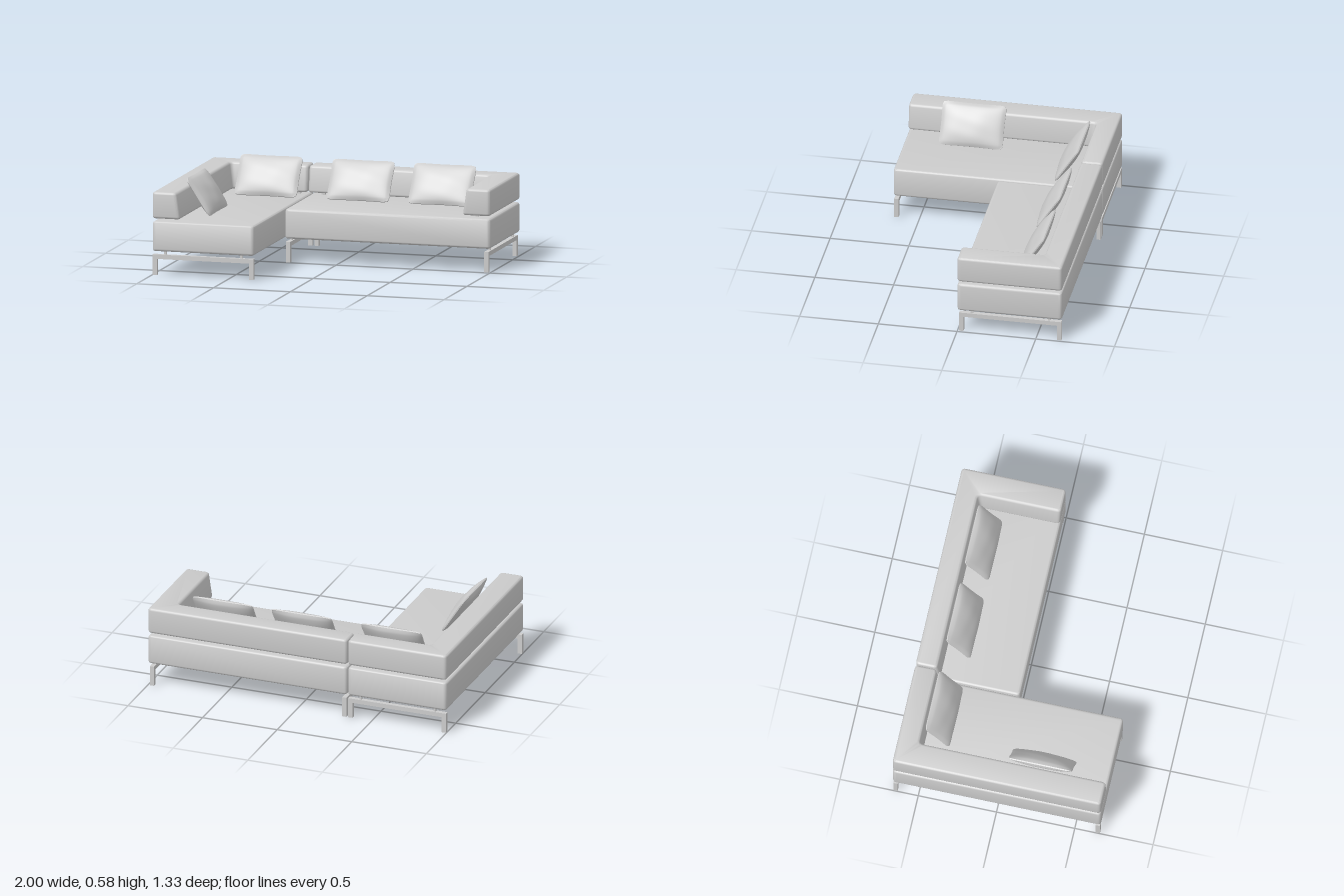
import * as THREE from 'three';
import { toCreasedNormals } from 'three/addons/utils/BufferGeometryUtils.js';

const material = new THREE.MeshStandardMaterial({ color: 0xcccccc });

function addMesh(parent, name, geometry, x = 0, y = 0, z = 0) {
  const mesh = new THREE.Mesh(geometry, material);
  mesh.name = name;
  mesh.position.set(x, y, z);
  parent.add(mesh);
  return mesh;
}

function addBox(parent, name, w, h, d, x, y, z) {
  return addMesh(parent, name, new THREE.BoxGeometry(w, h, d), x, y, z);
}

// Floor-plan outline with rounded corners; plan points are [x, z], counter-clockwise seen from above
function roundedPlan(points, r) {
  const pts = points.map(([x, z]) => new THREE.Vector2(x, -z));
  const shape = new THREE.Shape();
  pts.forEach((p, i) => {
    const before = pts[(i + pts.length - 1) % pts.length];
    const after = pts[(i + 1) % pts.length];
    const a = p.clone().add(before.clone().sub(p).setLength(r));
    const b = p.clone().add(after.clone().sub(p).setLength(r));
    if (i === 0) shape.moveTo(a.x, a.y);
    else shape.lineTo(a.x, a.y);
    shape.quadraticCurveTo(p.x, p.y, b.x, b.y);
  });
  shape.closePath();
  return shape;
}

// Upholstered block: plan extruded upwards with soft edges
function softBlock(points, y0, y1) {
  const bevel = 0.016;
  const g = new THREE.ExtrudeGeometry(roundedPlan(points, 0.024), {
    depth: y1 - y0 - 2 * bevel, bevelEnabled: true, bevelThickness: bevel,
    bevelSize: bevel, bevelOffset: -bevel, bevelSegments: 4, curveSegments: 5
  });
  g.rotateX(-Math.PI / 2);
  g.translate(0, y0 + bevel, 0);
  return g;
}

// L-shaped backrest whose inner faces lean outwards towards the top
function backrest(points) {
  const y0 = 0.357, y1 = 0.525;
  const g = softBlock(points, y0, y1);
  const p = g.attributes.position;
  for (let i = 0; i < p.count; i++) {
    const x = p.getX(i), z = p.getZ(i);
    const lean = 0.025 * (p.getY(i) - y0) / (y1 - y0);
    if (Math.abs(x) > 0.7 && Math.abs(x) < 0.93) p.setX(i, x + Math.sign(x) * lean);
    if (z > -0.6 && z < -0.45) p.setZ(i, z - lean);
  }
  return toCreasedNormals(g, 0.6);
}

// Pillow: thin seam at the rim, swelling to the middle, with faint creases
function pillowGeometry() {
  const W = 0.205, H = 0.14, T = 0.04, seam = 0.004;
  const g = new THREE.BoxGeometry(2, 2, 2, 28, 20, 1);
  const p = g.attributes.position;
  for (let i = 0; i < p.count; i++) {
    const u = p.getX(i), v = p.getY(i), side = p.getZ(i);
    const swell = Math.pow((1 - u * u) * (1 - v * v), 0.55);
    const crease = 1 + 0.05 * Math.sin(5 * u + 3 * v) * Math.cos(4 * v - 2 * u);
    p.setXYZ(i,
      W * u * (1 - 0.025 * (1 - v * v) - 0.05 * Math.pow(v, 10)),
      H * v * (1 - 0.03 * (1 - u * u) - 0.06 * Math.pow(u, 12)),
      side * (seam + (T - seam) * swell * crease));
  }
  g.computeVertexNormals();
  return g;
}

// Bridge-shaped leg frame running along x
function legFrame(name, length) {
  const frame = new THREE.Group();
  frame.name = name;
  const t = 0.028;
  addBox(frame, 'beam', length - 2 * t, 0.028, t, 0, 0.116, 0);
  for (const s of [-1, 1]) {
    addBox(frame, 'leg', t, 0.13, t, s * (length - t) / 2, 0.065, 0);
    addBox(frame, 'framePost', 0.014, 0.03, 0.014, s * (length / 2 - 0.08), 0.142, 0);
  }
  return frame;
}

export function createModel() {
  const model = new THREE.Group();
  model.name = 'cornerSofa';

  const chaise = new THREE.Group();
  chaise.name = 'chaiseSection';
  const bench = new THREE.Group();
  bench.name = 'benchSection';
  model.add(chaise, bench);

  // Seats
  const seat = (x0, x1, z0, z1) => toCreasedNormals(
    softBlock([[x0, z1], [x1, z1], [x1, z0], [x0, z0]], 0.15, 0.339), 0.6);
  addMesh(chaise, 'seat', seat(-1, -0.34, -0.665, 0.665));
  addMesh(bench, 'seat', seat(-0.334, 1, -0.665, 0));

  // Backrests with arms
  addMesh(chaise, 'backrest', backrest([
    [-1, 0.665], [-0.82, 0.665], [-0.82, -0.505], [-0.34, -0.505], [-0.34, -0.665], [-1, -0.665]]));
  addMesh(bench, 'backrest', backrest([
    [1, 0], [1, -0.665], [-0.334, -0.665], [-0.334, -0.505], [0.82, -0.505], [0.82, 0]]));

  // Posts carrying the backrests
  const posts = [
    [chaise, -0.92, 0.47], [chaise, -0.92, -0.57], [chaise, -0.41, -0.57],
    [bench, -0.25, -0.57], [bench, 0.89, -0.57], [bench, 0.89, -0.1]];
  for (const [section, x, z] of posts) {
    addBox(section, 'backrestPost', 0.022, 0.05, 0.022, x, 0.348, z);
  }

  // Leg frames
  for (const z of [-0.646, 0.646]) {
    const frame = legFrame('legFrame', 0.655);
    frame.position.set(-0.67, 0, z);
    chaise.add(frame);
  }
  for (const x of [-0.316, 0.973]) {
    const frame = legFrame('legFrame', 0.65);
    frame.rotation.y = Math.PI / 2;
    frame.position.set(x, 0, -0.335);
    bench.add(frame);
  }

  // Pillows leaning on the backrests: x, z, turn
  const pillow = pillowGeometry();
  const spots = [
    [-0.567, -0.43, 0], [0.033, -0.43, 0], [0.563, -0.43, 0], [-0.767, 0.243, Math.PI / 2]];
  for (const [x, z, turn] of spots) {
    const mesh = addMesh(model, 'pillow', pillow, x, 0.465, z);
    mesh.rotation.set(-0.575, turn, 0, 'YXZ');
  }

  return model;
}
